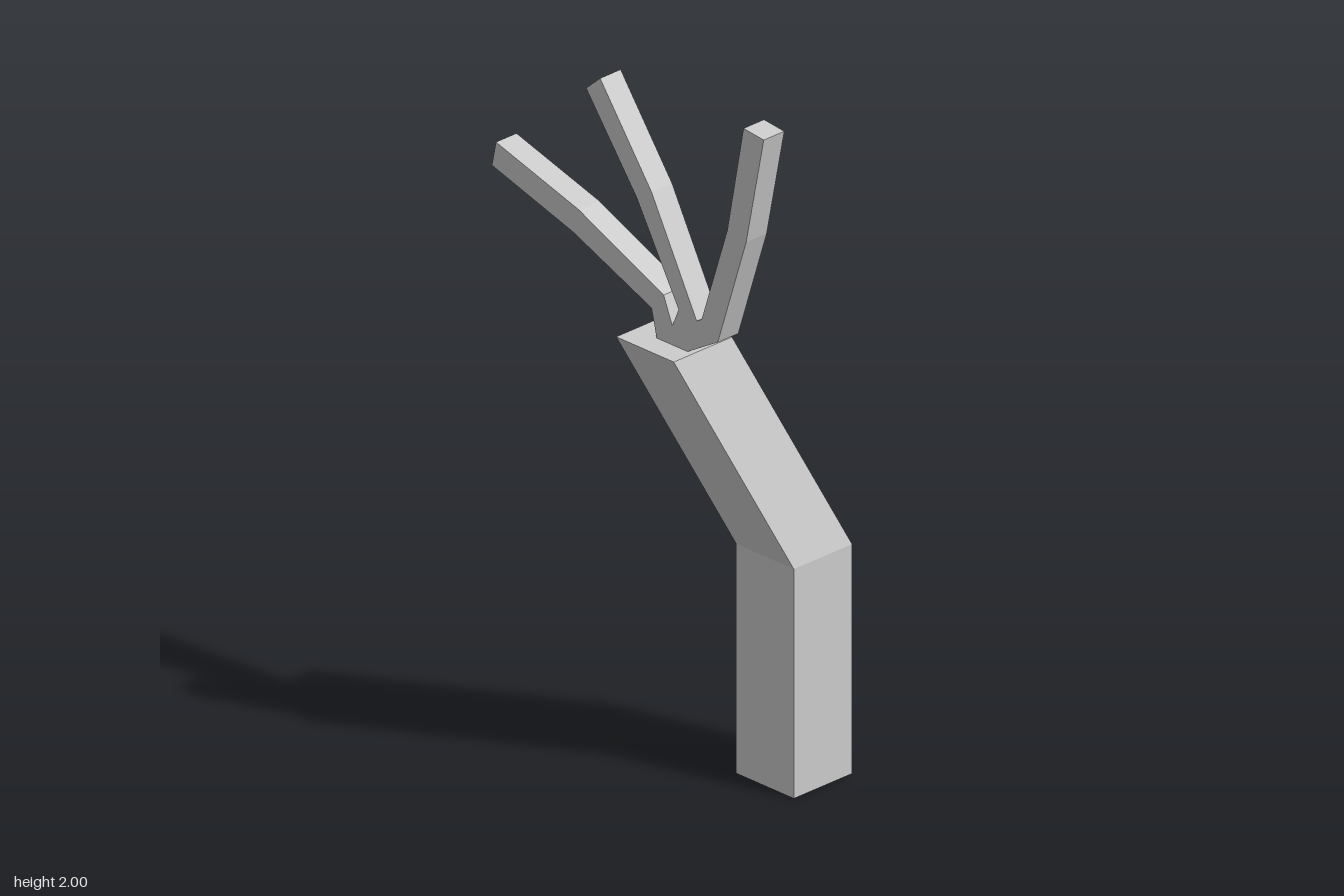
import * as THREE from 'three';

const bark = new THREE.MeshStandardMaterial({ color: 0xcccccc, flatShading: true });
bark.name = 'grey';

// Square trunk swept through [x, y, z] centres: upright below, leaning above
function makeTrunk() {
  const centres = [[0.128, 0, 0.318], [0.128, 0.662, 0.318], [-0.131, 1.285, 0.136]];
  const geometry = new THREE.BoxGeometry(0.213, 2, 0.213, 1, 2, 1);
  const p = geometry.attributes.position;
  for (let i = 0; i < p.count; i++) {
    const [x, y, z] = centres[Math.round(p.getY(i)) + 1];
    p.setXYZ(i, p.getX(i) + x, y, p.getZ(i) + z);
  }
  geometry.computeVertexNormals();
  const mesh = new THREE.Mesh(geometry, bark);
  mesh.name = 'trunk';
  return mesh;
}

// Three forked branches in one flat fan; outline points are [z, y]
function makeBranches() {
  const outline = [
    [0.11, 1.28], [0.09, 1.365], [-0.2, 1.485], [-0.5, 1.575], // back branch
    [-0.485, 1.647], [-0.18, 1.557], [0.135, 1.418], [0.167, 1.34],
    [0.19, 1.395], [0.035, 1.665], [-0.152, 1.917], // middle branch
    [-0.1, 1.963], [0.09, 1.7], [0.257, 1.385],
    [0.275, 1.395], [0.37, 1.685], [0.43, 2], // front branch
    [0.505, 1.992], [0.44, 1.675], [0.335, 1.35], [0.215, 1.28],
  ];
  const shape = new THREE.Shape(outline.map(([z, y]) => new THREE.Vector2(z, y)));
  const geometry = new THREE.ExtrudeGeometry(shape, { depth: 0.075, bevelEnabled: false });
  geometry.rotateY(-Math.PI / 2).translate(-0.093, 0, 0);
  const mesh = new THREE.Mesh(geometry, bark);
  mesh.name = 'branches';
  return mesh;
}

export function createModel() {
  const group = new THREE.Group();
  group.name = 'bareTree';
  group.add(makeTrunk(), makeBranches());
  return group;
}
